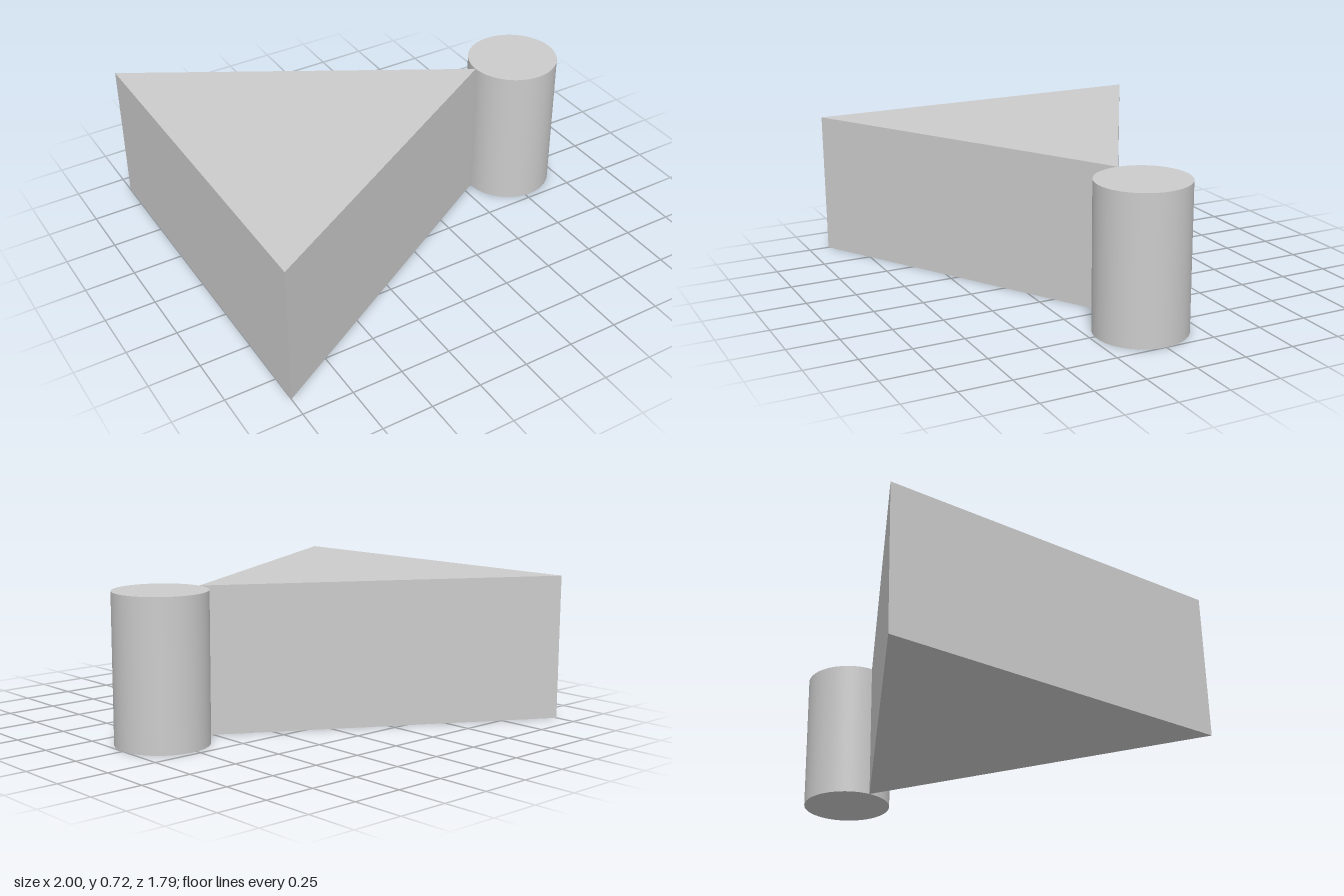
import * as THREE from 'three';

export function createModel() {
  const group = new THREE.Group();
  const material = new THREE.MeshStandardMaterial({ color: 0xcccccc });
  const height = 0.717;
  const radius = 0.224;
  const apexX = 1 - 2 * radius;
  const halfSide = (apexX + 1) / Math.sqrt(3);

  // Equilateral triangular prism, its apex pointing to +x
  const triangle = new THREE.Shape([
    new THREE.Vector2(-1, -halfSide),
    new THREE.Vector2(apexX, 0),
    new THREE.Vector2(-1, halfSide),
  ]);
  const prismGeometry = new THREE.ExtrudeGeometry(triangle, { depth: height, bevelEnabled: false });
  prismGeometry.rotateX(-Math.PI / 2);
  const prism = new THREE.Mesh(prismGeometry, material);
  prism.name = 'triangularPrism';
  group.add(prism);

  // Upright cylinder touching the apex
  const cylinder = new THREE.Mesh(new THREE.CylinderGeometry(radius, radius, height, 64), material);
  cylinder.name = 'cylinder';
  cylinder.position.set(1 - radius, height / 2, 0);
  group.add(cylinder);

  return group;
}
